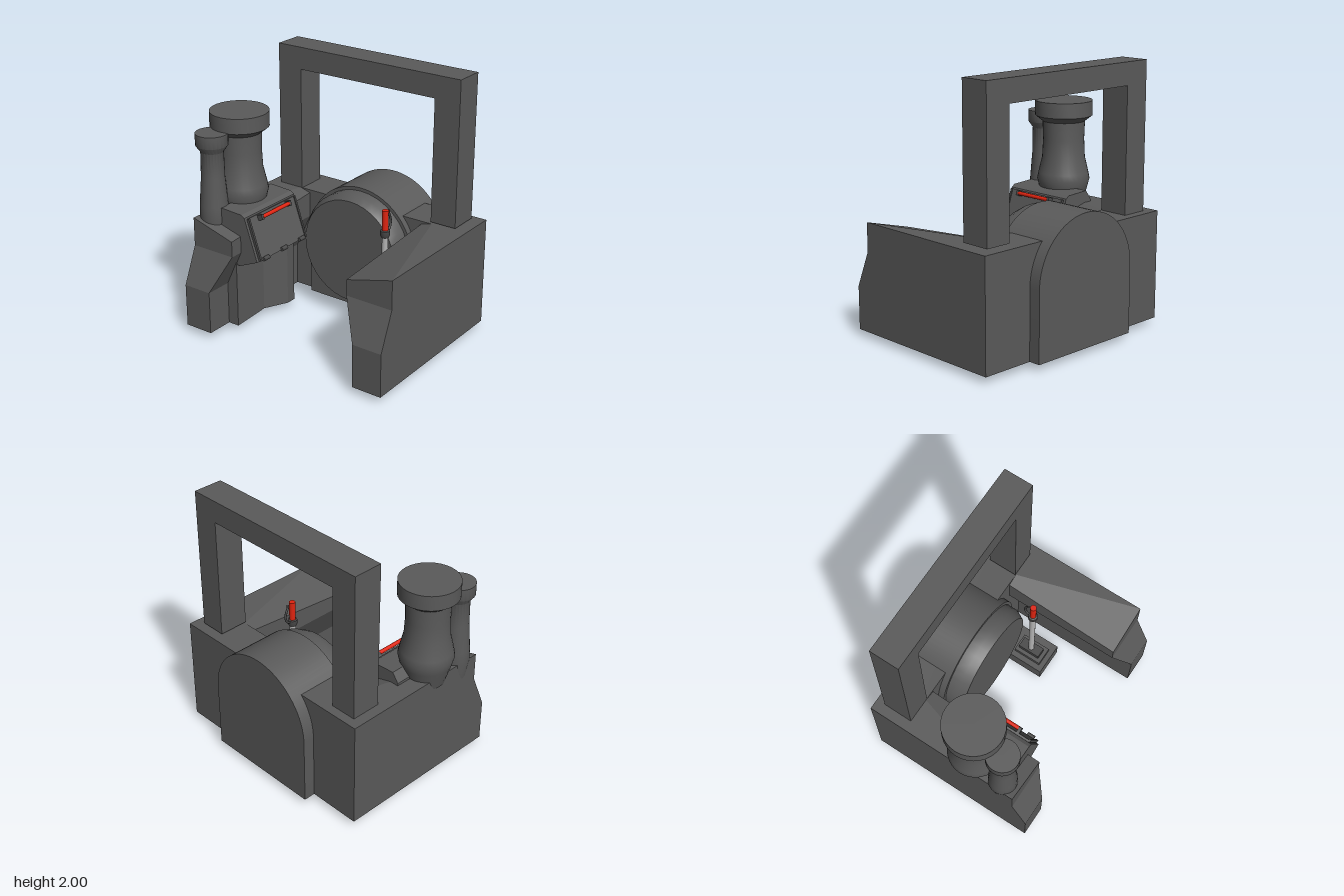
import * as THREE from 'three';
import { toCreasedNormals } from 'three/addons/utils/BufferGeometryUtils.js';

const mat = (name, color) => new THREE.MeshStandardMaterial({ name, color });

export function createModel() {
  const body = mat('dark grey', 0x5a5a5a);
  const trim = mat('charcoal', 0x4a4a4a);
  const red = mat('red', 0xe02410);
  const silver = mat('silver', 0xb4b4b4);
  const model = new THREE.Group();
  model.name = 'machine';

  const add = (name, geo, material, x = 0, y = 0, z = 0, parent = model) => {
    const mesh = new THREE.Mesh(geo, material);
    mesh.name = name;
    mesh.position.set(x, y, z);
    parent.add(mesh);
    return mesh;
  };
  // Box given by its limits
  const box = (name, m, x0, x1, y0, y1, z0, z1, parent) =>
    add(name, new THREE.BoxGeometry(x1 - x0, y1 - y0, z1 - z0), m,
      (x0 + x1) / 2, (y0 + y1) / 2, (z0 + z1) / 2, parent);
  const prism = (pts, depth) => new THREE.ExtrudeGeometry(
    new THREE.Shape(pts.map(p => new THREE.Vector2(...p))), { depth, bevelEnabled: false });
  const lathe = (pts, seg = 32) => toCreasedNormals(
    new THREE.LatheGeometry(pts.map(p => new THREE.Vector2(...p)), seg), 0.65);
  const rod = (r, h, seg = 16) => new THREE.CylinderGeometry(r, r, h, seg);

  // Four-cornered rings stacked upwards, closed at both ends
  const loft = rings => {
    const v = [];
    const quad = (a, b, c, d) => v.push(...a, ...b, ...c, ...a, ...c, ...d);
    for (let k = 0; k + 1 < rings.length; k++)
      for (let i = 0; i < 4; i++) {
        const j = (i + 1) % 4;
        quad(rings[k][i], rings[k][j], rings[k + 1][j], rings[k + 1][i]);
      }
    quad(...rings[rings.length - 1]);
    quad(...[...rings[0]].reverse());
    const g = new THREE.BufferGeometry();
    g.setAttribute('position', new THREE.Float32BufferAttribute(v, 3));
    g.computeVertexNormals();
    return g;
  };

  // Side walls: undercut inside, sloping nose, dropped inner top corner
  const wall = (name, outer, inner, foot, mirrored) => {
    const ring = (y, xi, zf, drop = y) =>
      [[outer, y, zf], [outer, y, -0.63], [xi, y, -0.63], [xi, drop, zf]];
    let rings = [ring(0.05, foot, 0.72), ring(0.38, foot, 0.72), ring(0.66, inner, 0.6),
      ring(0.78, inner, 0.6), ring(0.88, inner, 0.6, 0.78)];
    if (mirrored) rings = rings.map(r => [0, 3, 2, 1].map(i => [-r[i][0], r[i][1], r[i][2]]));
    add(name, loft(rings), body);
  };
  wall('leftWall', 0.915, 0.545, 0.68, false);
  wall('rightWall', 0.83, 0.47, 0.6, true);

  // Rear slab and arched drum housing
  box('rearSlab', body, -0.82, 0.905, 0.05, 0.88, -0.63, -0.33);
  const arch = new THREE.Shape();
  arch.moveTo(-0.425, 0.05);
  arch.lineTo(0.505, 0.05);
  arch.lineTo(0.505, 0.57);
  arch.absarc(0.04, 0.57, 0.465, 0, Math.PI, false);
  arch.closePath();
  add('drumHousing', toCreasedNormals(new THREE.ExtrudeGeometry(arch,
    { depth: 0.44, bevelEnabled: false, curveSegments: 18 }), 0.5), body, 0, 0, -0.72);

  // Front drum with chamfered rim
  const drum = lathe([[0, 0], [0.44, 0], [0.44, 0.12], [0.405, 0.185], [0, 0.185]], 36);
  drum.rotateX(Math.PI / 2);
  add('drum', drum, body, 0.04, 0.57, -0.32);

  // Square arch frame
  const frame = prism([[-0.75, 0.87], [-0.545, 0.87], [-0.545, 1.83], [0.625, 1.83],
    [0.625, 0.895], [0.83, 0.895], [0.83, 2], [-0.75, 2]], 0.23);
  add('archFrame', frame, body, 0, 0, -0.56);

  // Chimneys
  add('largeChimney', lathe([[0, 0.8], [0.14, 0.8], [0.185, 0.95], [0.203, 1.02], [0.193, 1.07],
    [0.165, 1.19], [0.158, 1.33], [0.163, 1.47], [0.22, 1.515], [0.22, 1.63], [0, 1.63]]),
  body, -0.7, 0, 0.205);
  add('smallChimney', lathe([[0, 0.7], [0.08, 0.7], [0.108, 0.87], [0.105, 0.97], [0.088, 1.18],
    [0.085, 1.38], [0.12, 1.43], [0.12, 1.52], [0, 1.52]], 24), body, -0.745, 0, 0.465);

  // Control cabinet with a sloping face, on a stepped pedestal
  add('cabinet', prism([[-0.7, 0.55], [-0.48, 0.55], [-0.32, 0.62], [-0.43, 0.94],
    [-0.46, 0.96], [-0.65, 0.97], [-0.7, 0.9]], 0.58), body, 0, 0, -0.08);
  const pedestal = prism([[-0.62, -0.51], [-0.51, -0.51], [-0.53, -0.18], [-0.44, 0],
    [-0.44, 0.08], [-0.62, 0.08]], 0.57);
  pedestal.rotateX(-Math.PI / 2);
  add('cabinetPedestal', pedestal, body, 0, 0.05, 0);

  // Hatch on the sloping face, local +x points out of it
  const hatch = new THREE.Group();
  hatch.name = 'hatch';
  hatch.position.set(-0.37, 0.78, 0.21);
  hatch.rotation.z = 0.331;
  model.add(hatch);
  box('hatchDoor', body, -0.01, 0.012, -0.165, 0.16, -0.265, 0.265, hatch);
  for (const s of [-1, 1]) {
    box('hatchSideRim', trim, 0, 0.02, -0.165, 0.16, s * 0.265 - 0.008, s * 0.265 + 0.008, hatch);
    box('handleBracket', trim, 0, 0.055, 0.115, 0.155, s * 0.16 - 0.012, s * 0.16 + 0.012, hatch);
  }
  const bar = rod(0.015, 0.31);
  bar.rotateX(Math.PI / 2);
  add('hatchHandle', bar, red, 0.042, 0.135, 0, hatch);
  for (const z of [-0.21, 0, 0.21]) {
    const hinge = rod(0.016, 0.06, 12);
    hinge.rotateX(Math.PI / 2);
    add('hatchHinge', hinge, trim, 0.018, -0.16, z, hatch);
  }

  // Lever on its foot plate
  const lx = 0.425, lz = -0.04;
  box('leverBase', body, 0.31, 0.568, 0.02, 0.14, -0.46, 0.12);
  box('leverStep', body, 0.355, 0.5, 0.14, 0.175, -0.15, 0.08);
  box('leverSocket', trim, 0.385, 0.468, 0.175, 0.215, -0.13, 0.05);
  add('leverPivot', rod(0.036, 0.03), trim, lx, 0.015, lz);
  add('leverRod', rod(0.023, 0.66), silver, lx, 0.52, lz);
  add('leverCollar', lathe([[0, 0.825], [0.026, 0.825], [0.036, 0.845], [0.036, 0.88], [0, 0.89]], 16),
    trim, lx, 0, lz);
  add('leverGrip', rod(0.024, 0.15), red, lx, 0.96, lz);
  // Curved trigger behind the grip
  const path = new THREE.CatmullRomCurve3([[0.86, -0.05], [0.875, -0.09], [0.92, -0.11],
    [0.97, -0.1], [1, -0.085], [1.03, -0.085]].map(([y, z]) => new THREE.Vector3(lx, y, z)));
  add('leverTrigger', new THREE.TubeGeometry(path, 16, 0.009, 8), trim);

  return model;
}
